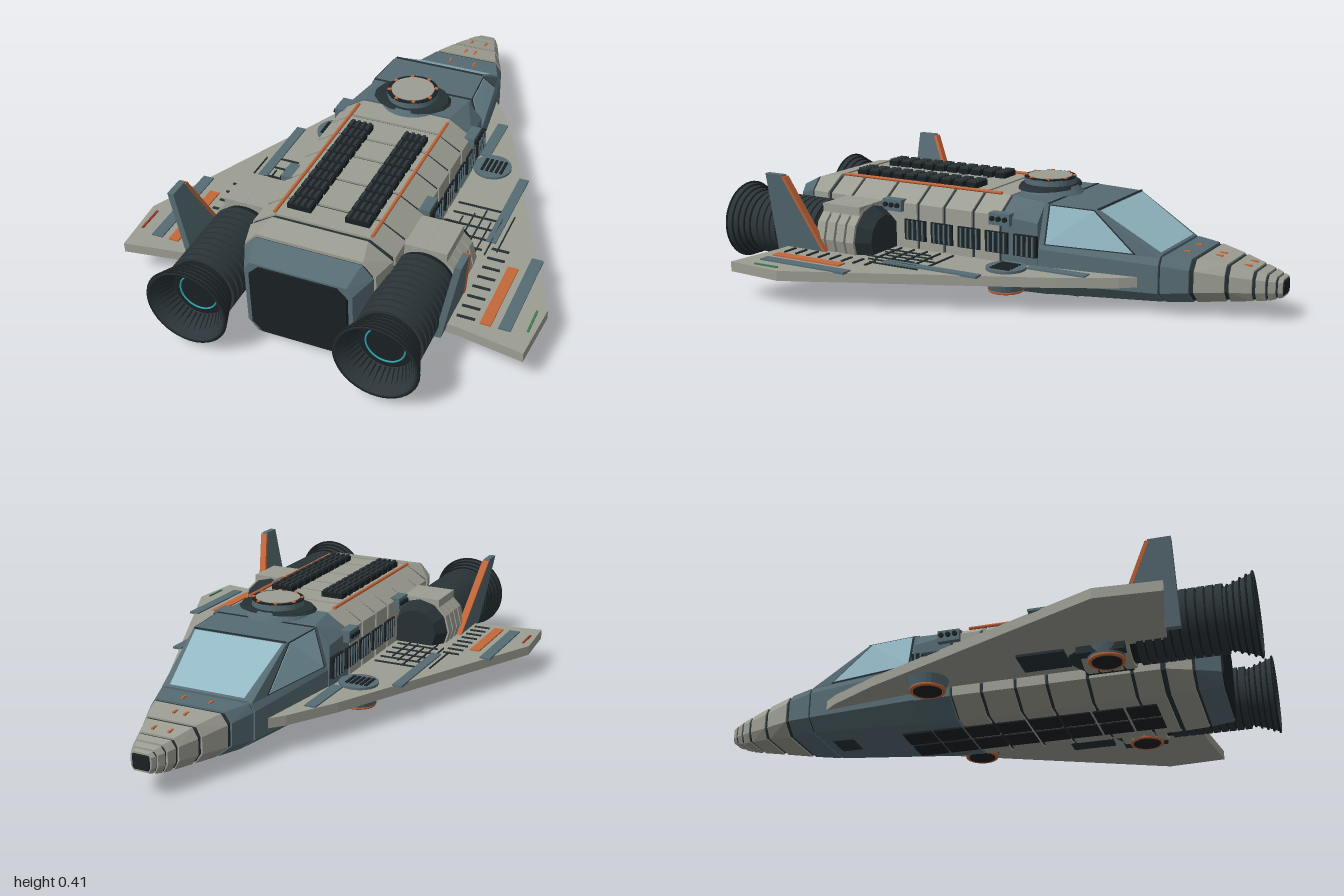
import * as THREE from 'three';
import { ConvexGeometry } from 'three/addons/geometries/ConvexGeometry.js';

const mat = (color, flatShading = false) => new THREE.MeshStandardMaterial({ color, flatShading, side: THREE.DoubleSide });
const M = {
  pale: mat(0x9c9d92, true), slate: mat(0x566b73, true), dark: mat(0x263034, true), black: mat(0x1a2023),
  orange: mat(0xc4673a), glass: mat(0x93b8c4), cyan: mat(0x2aa5ad), steel: mat(0x2b3539),
};
const V = (x, y, z) => new THREE.Vector3(x, y, z);

// Stations: z, half-widths (top, side, bottom), heights (top, shoulder, lower side, bottom)
const HULL = [
  [0.855, 0.165, 0.185, 0.15, 0.295, 0.265, 0.055, 0.015],
  [0.77, 0.185, 0.225, 0.16, 0.335, 0.29, 0.055, 0.01],
  [0.68, 0.165, 0.25, 0.16, 0.35, 0.295, 0.06, 0.005],
  [-0.06, 0.165, 0.25, 0.16, 0.35, 0.295, 0.06, 0.005],
  [-0.2, 0.185, 0.24, 0.16, 0.342, 0.28, 0.065, 0.011],
];
const NOSE = [
  [-0.2, 0.225, 0.235, 0.16, 0.21, 0.19, 0.07, 0.012],
  [-0.62, 0.165, 0.18, 0.13, 0.202, 0.175, 0.08, 0.04],
  [-0.72, 0.125, 0.15, 0.1, 0.2, 0.165, 0.09, 0.046],
  [-0.83, 0.085, 0.105, 0.08, 0.185, 0.15, 0.095, 0.06],
  [-0.95, 0.045, 0.06, 0.045, 0.16, 0.14, 0.1, 0.07],
  [-1, 0.025, 0.035, 0.025, 0.145, 0.135, 0.1, 0.085],
];

// Eight-sided cross-section interpolated at z, pulled in by inset
function section(table, z, inset = 0) {
  let i = 0;
  while (i < table.length - 2 && z < table[i + 1][0]) i++;
  const a = table[i], b = table[i + 1], t = (z - a[0]) / (b[0] - a[0]);
  const [, tw, sw, bw, yt, ys, yl, yb] = a.map((v, k) => v + (b[k] - v) * t);
  const half = [[tw, yt - inset], [sw - inset, ys], [sw - inset, yl], [bw, yb + inset]];
  return half.flatMap(([x, y]) => [V(x, y, z), V(-x, y, z)]);
}

export function createModel() {
  const root = new THREE.Group();
  root.name = 'spaceplane';
  const add = (name, geo, m, x = 0, y = 0, z = 0, parent = root) => {
    const mesh = new THREE.Mesh(geo, m);
    mesh.name = name;
    mesh.position.set(x, y, z);
    parent.add(mesh);
    return mesh;
  };
  const box = (name, m, w, h, d, x, y, z, p) => add(name, new THREE.BoxGeometry(w, h, d), m, x, y, z, p);
  const hullPart = (name, m, table, z0, z1, inset = 0) =>
    add(name, new ConvexGeometry([...section(table, z0, inset), ...section(table, z1, inset)]), m);
  const cyl = (name, m, r0, r1, h, x, y, z, p, n = 32) => add(name, new THREE.CylinderGeometry(r0, r1, h, n), m, x, y, z, p);
  // Four-cornered panel, shrunk toward its middle and lifted along its normal
  const panel = (name, m, pts, shrink, lift) => {
    const mid = pts.reduce((s, p) => s.add(p), V(0, 0, 0)).divideScalar(4);
    const n = pts[1].clone().sub(pts[0]).cross(pts[2].clone().sub(pts[0])).normalize();
    if (n.dot(mid.clone().sub(V(0, 0.15, mid.z))) < 0) n.negate();
    const q = pts.map((p) => p.clone().lerp(mid, shrink));
    add(name, new ConvexGeometry([...q, ...q.map((p) => p.clone().addScaledVector(n, lift))]), m);
  };

  // Hull plating over a recessed dark core
  hullPart('hullCore', M.dark, HULL, 0.68, -0.06, 0.008);
  hullPart('hullCoreRear', M.dark, HULL, 0.78, 0.67, 0.008);
  const cuts = [0.67, 0.57, 0.42, 0.28, 0.17, 0.05, -0.06];
  for (let i = 0; i < cuts.length - 1; i++) hullPart('hullPlate', M.pale, HULL, cuts[i] - 0.006, cuts[i + 1] + 0.006);
  hullPart('rearPlate', M.pale, HULL, 0.765, 0.682);
  hullPart('tailBlock', M.slate, HULL, 0.855, 0.775);
  hullPart('cockpitCollar', M.slate, HULL, -0.064, -0.2);

  // Dark rear bulkhead with clipped corners
  const [bw, b0, b1, c] = [0.172, 0.022, 0.288, 0.035];
  const rear = [[bw - c, b1], [bw, b1 - c], [bw, b0 + c], [bw - c, b0]]
    .flatMap(([x, y]) => [-1, 1].flatMap((s) => [V(s * x, y, 0.85), V(s * (x - 0.005), y, 0.862)]));
  add('rearBulkhead', new ConvexGeometry(rear), M.black);

  // Forebody and segmented nose
  hullPart('forebody', M.slate, NOSE, -0.2, -0.618);
  hullPart('noseCollar', M.slate, NOSE, -0.625, -0.715);
  [[-0.61, -0.72], [-0.72, -0.83], [-0.83, -0.95], [-0.95, -0.985]].forEach(([a, b]) => hullPart('noseCore', M.dark, NOSE, a, b, 0.006));
  [[-0.73, -0.822], [-0.836, -0.905], [-0.916, -0.945], [-0.953, -0.975]].forEach(([a, b]) => hullPart('nosePlate', M.pale, NOSE, a, b));
  hullPart('noseTip', M.pale, NOSE, -0.982, -0.996);
  add('noseCap', new ConvexGeometry([...section(NOSE, -0.995, 0.005), ...section(NOSE, -1, 0.008)]), M.black);

  // Canopy frame with glazing
  const cp = (s) => ({
    rb: V(s * 0.232, 0.205, -0.2), rt: V(s * 0.192, 0.342, -0.2), mt: V(s * 0.178, 0.338, -0.395),
    fb: V(s * 0.168, 0.2, -0.618), ft: V(s * 0.148, 0.206, -0.618),
  });
  const L = cp(1), R = cp(-1);
  add('canopyFrame', new ConvexGeometry([...Object.values(L), ...Object.values(R)]), M.slate);
  panel('windscreen', M.glass, [L.mt, R.mt, R.ft, L.ft], 0.06, 0.003);
  for (const k of [L, R]) {
    const low = (t) => k.rb.clone().lerp(k.fb, t), high = (t) => k.rt.clone().lerp(k.mt, t);
    panel('sideWindowSeal', M.dark, [low(0.04), low(0.82), high(0.95), high(0.08)], 0.02, 0.003);
    panel('sideWindow', M.glass, [low(0.04), low(0.82), high(0.95), high(0.08)], 0.07, 0.005);
  }
  box('canopySeam', M.dark, 0.38, 0.004, 0.008, 0, 0.342, -0.215);
  box('canopySeam', M.dark, 0.35, 0.004, 0.008, 0, 0.339, -0.395);

  // Dorsal hatch turret
  cyl('turretBase', M.dark, 0.135, 0.145, 0.012, 0, 0.368, -0.12, root, 16).scale.z = 0.72;
  cyl('turretFoot', M.slate, 0.1, 0.12, 0.03, 0, 0.355, -0.12);
  cyl('turretBody', M.slate, 0.092, 0.092, 0.042, 0, 0.374, -0.12);
  cyl('turretRim', M.black, 0.092, 0.092, 0.005, 0, 0.396, -0.12);
  cyl('turretLid', M.pale, 0.078, 0.078, 0.008, 0, 0.397, -0.12);
  for (let i = 0; i < 8; i++) {
    const a = (i + 0.5) * Math.PI / 4;
    box('turretBolt', M.orange, 0.012, 0.006, 0.012, 0.085 * Math.cos(a), 0.399, -0.12 + 0.085 * Math.sin(a));
  }

  // Belly heat tiles
  for (const x of [-0.055, 0.055]) for (let i = 0; i < 8; i++) box('bellyTile', M.black, 0.095, 0.008, 0.105, x, 0.004, -0.235 + i * 0.115);
  box('noseHatch', M.dark, 0.1, 0.008, 0.12, 0, 0.036, -0.52);

  for (const s of [1, -1]) {
    // Roof vents and pipes
    for (let i = 0; i < 10; i++) {
      const z = 0.125 + i * 0.053;
      box('roofVent', M.black, 0.084, 0.022, 0.04, s * 0.102, 0.358, z);
      for (let j = 0; j < 4; j++) box('ventFin', M.steel, 0.01, 0.01, 0.036, s * (0.07 + j * 0.021), 0.371, z);
    }
    cyl('roofPipe', M.orange, 0.006, 0.006, 0.68, s * 0.17, 0.354, 0.32, root, 8).rotation.x = Math.PI / 2;

    // Side grilles and thruster clusters
    for (let i = 0; i < 5; i++) {
      const z = 0.29 - i * 0.112;
      box('sideGrille', M.black, 0.014, 0.075, 0.09, s * 0.25, 0.2, z);
      for (let j = 0; j < 4; j++) box('grilleSlat', M.slate, 0.01, 0.07, 0.006, s * 0.256, 0.2, z - 0.032 + j * 0.021);
    }
    for (const z of [0.38, -0.065]) {
      box('thrusterBlock', M.slate, 0.04, 0.042, 0.08, s * 0.25, 0.285, z);
      for (const d of [-0.025, 0, 0.025]) cyl('thrusterPort', M.black, 0.009, 0.009, 0.012, s * 0.272, 0.287, z + d, root, 10).rotation.z = Math.PI / 2;
    }

    // Delta wing
    const outline = [[0.18, -0.56], [0.23, -0.5], [0.33, -0.32], [0.72, 0.54], [0.705, 0.755], [0.48, 0.72], [0.2, 0.7]];
    const shape = new THREE.Shape(outline.map(([x, z]) => new THREE.Vector2(s * x, z)));
    add('wing', new THREE.ExtrudeGeometry(shape, { depth: 0.035, bevelEnabled: false }), M.pale, 0, 0.13, 0).rotation.x = Math.PI / 2;
    const mark = (name, m, w, d, x, z) => box(name, m, w, 0.008, d, s * x, 0.131, z);
    mark('wingBand', M.slate, 0.04, 0.22, 0.265, -0.29);
    mark('wingBand', M.slate, 0.035, 0.38, 0.445, 0.1);
    mark('wingBand', M.slate, 0.04, 0.36, 0.62, 0.5);
    mark('wingStripe', M.orange, 0.036, 0.29, 0.557, 0.535);
    mark('navigationLight', s > 0 ? mat(0x3f7a55) : mat(0xa03a32), 0.007, 0.1, 0.69, 0.61);
    for (let i = 0; i < 8; i++) mark('wingLouvre', M.dark, 0.06, 0.008, 0.49, 0.32 + i * 0.05);
    for (let i = 0; i < 6; i++) mark('wingSeam', M.dark, 0.004, 0.2, 0.31 + i * 0.034, 0.29 - (i % 3) * 0.03);
    for (let i = 0; i < 5; i++) mark('wingStep', M.dark, 0.16, 0.006, 0.35, 0.12 + i * 0.055);

    // Lift fans under the wing, with a slatted inlet above the front one
    for (const [x, z] of [[0.315, -0.12], [0.36, 0.51]]) {
      cyl('liftFanHousing', M.slate, 0.075, 0.06, 0.045, s * x, 0.08, z, root, 24);
      add('liftFanRing', new THREE.TorusGeometry(0.056, 0.007, 8, 24), M.orange, s * x, 0.06, z).rotation.x = Math.PI / 2;
      cyl('liftFanMouth', M.black, 0.05, 0.05, 0.004, s * x, 0.056, z, root, 24);
    }
    cyl('fanInlet', M.slate, 0.07, 0.07, 0.012, s * 0.315, 0.133, -0.12, root, 24);
    for (let i = 0; i < 5; i++) box('inletSlat', M.black, 0.01, 0.008, 0.075, s * (0.285 + i * 0.018), 0.139, -0.12);
    box('gearDoor', M.dark, 0.12, 0.012, 0.16, s * 0.36, 0.092, 0.3);

    // Engine: axis along z
    const engine = new THREE.Group();
    engine.name = 'engine';
    engine.position.set(s * 0.32, 0.175, 0);
    root.add(engine);
    const along = (name, m, r0, r1, len, z, n = 32) => cyl(name, m, r0, r1, len, 0, 0, z, engine, n).rotation.x = Math.PI / 2;
    along('engineIntake', M.dark, 0.115, 0.085, 0.05, 0.4, 12);
    along('engineCore', M.black, 0.106, 0.106, 0.48, 0.66);
    for (let i = 0; i < 4; i++) along('nacellePlate', M.pale, 0.121, 0.121, 0.034, 0.445 + i * 0.043, 12);
    for (let i = 0; i < 10; i++) along('engineRib', M.steel, 0.115, 0.115, 0.022, 0.625 + i * 0.029);
    box('nacelleShoulder', M.pale, 0.15, 0.04, 0.16, 0, 0.1, 0.51, engine);
    box('nacelleBrace', M.dark, 0.2, 0.13, 0.16, 0, -0.04, 0.5, engine);

    // Flared nozzle bell with rings and ribs
    const bell = [[0.1, 0.89], [0.108, 0.92], [0.123, 0.965], [0.138, 1], [0.128, 1], [0.104, 0.95], [0.088, 0.915]];
    add('nozzleBell', new THREE.LatheGeometry(bell.map(([r, z]) => new THREE.Vector2(r, z)), 40), M.steel, 0, 0, 0, engine).rotation.x = Math.PI / 2;
    for (let i = 0; i < 5; i++) add('nozzleRing', new THREE.TorusGeometry(0.108 + i * 0.0078, 0.0035, 6, 40), M.black, 0, 0, 0.912 + i * 0.021, engine);
    for (let i = 0; i < 36; i++) {
      const a = i * Math.PI / 18;
      const rib = new THREE.LineCurve3(V(0.09 * Math.cos(a), 0.09 * Math.sin(a), 0.92), V(0.131 * Math.cos(a), 0.131 * Math.sin(a), 0.998));
      add('nozzleRib', new THREE.TubeGeometry(rib, 1, 0.003, 5), M.black, 0, 0, 0, engine);
    }
    along('nozzleThroat', M.black, 0.1, 0.1, 0.01, 0.912);
    add('plasmaRing', new THREE.TorusGeometry(0.065, 0.003, 8, 40), M.cyan, 0, 0, 0.92, engine);

    // Canted tail fin with coloured leading edge
    const fin = (pts, x0, t) => pts.flatMap(([y, z]) => {
      const x = x0 + (y - 0.11) * 0.2;
      return [V(s * (x - t), y, z), V(s * (x + t), y, z)];
    });
    add('tailFin', new ConvexGeometry(fin([[0.11, 0.765], [0.11, 0.545], [0.405, 0.685], [0.405, 0.76]], 0.43, 0.011)), M.slate);
    add('finEdge', new ConvexGeometry(fin([[0.13, 0.562], [0.13, 0.548], [0.4, 0.676], [0.4, 0.69]], 0.43, 0.013)), M.orange);
  }

  // Small nose markings
  for (const [x, y, z] of [[0.05, 0.202, -0.67], [0.02, 0.194, -0.77], [0.03, 0.177, -0.875]])
    for (const s of [1, -1]) box('noseMark', M.orange, 0.008, 0.006, 0.025, s * x, y, z);
  return root;
}
